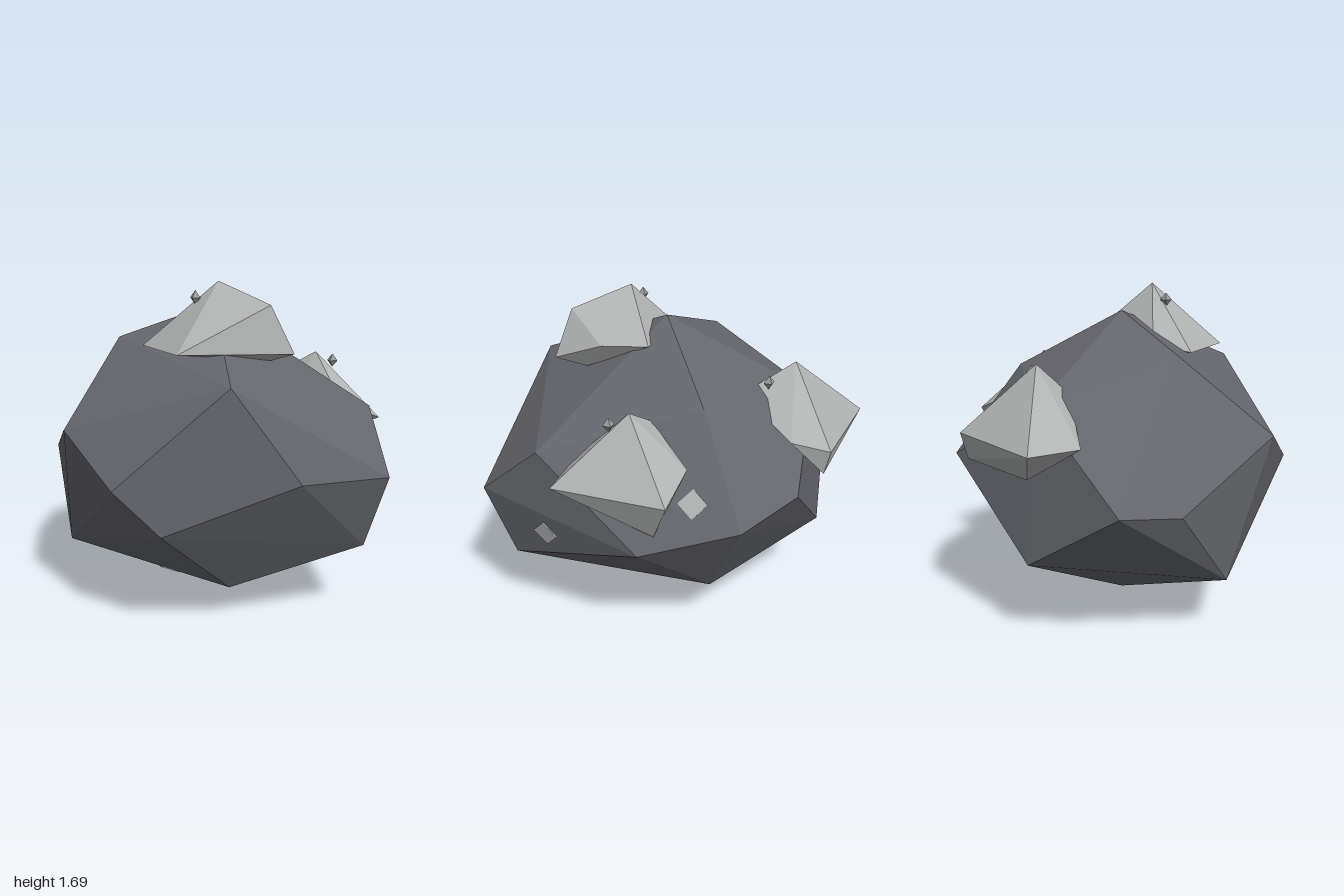
import * as THREE from 'three';
import { ConvexGeometry } from 'three/addons/geometries/ConvexGeometry.js';

const toVectors = (points) => points.map((p) => new THREE.Vector3(...p));

export function createModel() {
  const darkStone = new THREE.MeshStandardMaterial({ color: 0x65666c, flatShading: true });
  darkStone.name = 'dark stone';
  const paleStone = new THREE.MeshStandardMaterial({ color: 0xb0b2b1, flatShading: true });
  paleStone.name = 'pale stone';
  const crystalGrey = new THREE.MeshStandardMaterial({ color: 0x98999a, flatShading: true });
  crystalGrey.name = 'crystal grey';

  const model = new THREE.Group();
  model.name = 'boulder';
  const add = (name, geometry, material, position = [0, 0, 0]) => {
    const mesh = new THREE.Mesh(geometry, material);
    mesh.name = name;
    mesh.position.set(...position);
    model.add(mesh);
    return mesh;
  };

  // Faceted boulder: the six axis tips, then the corners between them
  add('boulderBody', new ConvexGeometry(toVectors([
    [1, 0.78, 0], [-1, 0.78, 0], [0, 0.78, 0.88], [0, 0.78, -0.88], [0, 0, 0], [0, 1.56, 0],
    [0.74, 0.81, 0.42], [0.87, 0.39, -0.04], [0.46, 1.26, 0.59], [0.21, 0.57, 0.79],
    [0.32, 0.18, 0.36], [-0.58, 0.31, 0.52], [-0.39, 0.99, 0.75], [-0.87, 0.74, 0.28],
    [-0.41, 1.39, 0.27], [0.78, 1.06, -0.26], [0.445, 0.66, -0.7], [-0.01, 0.27, -0.55],
    [-0.32, 0.88, -0.83], [0.04, 1.27, -0.54], [-0.71, 0.44, -0.435], [-0.64, 1.19, -0.38],
  ])), darkStone);

  // Pale rock outcrops, partly sunk into the boulder
  const outcrops = {
    topOutcrop: [
      [0.13, 1.69, 0.16], [0.44, 1.59, 0.19], [0.55, 1.36, 0.15], [0.13, 1.37, 0.53],
      [-0.2, 1.37, 0.35], [-0.16, 1.41, 0.16], [0.13, 1.31, 0.16], [0.4, 1.31, 0.1],
      [0.15, 1.45, -0.12], [0.36, 1.45, -0.02],
    ],
    leftOutcrop: [
      [0.77, 0.96, -0.44], [0.35, 0.96, -0.82], [0.36, 0.75, -0.7], [0.6, 0.88, -0.44],
      [0.38, 1.28, -0.46], [0.45, 1.17, -0.41], [0.6, 1.04, -0.33], [0.33, 1.14, -0.37],
      [0.26, 1.21, -0.44], [0.18, 1.05, -0.67], [0.4, 0.85, -0.42],
    ],
    rightOutcrop: [
      [-0.53, 1.37, -0.39], [-0.95, 1.04, -0.39], [-0.53, 1.04, -0.76], [-0.25, 1.23, -0.36],
      [-0.36, 1.08, -0.67], [-0.82, 1.04, -0.17], [-0.53, 1.23, -0.24], [-0.52, 0.91, -0.73],
      [-0.76, 0.88, -0.42], [-0.5, 0.95, -0.4],
    ],
  };
  for (const [name, points] of Object.entries(outcrops)) {
    add(name, new ConvexGeometry(toVectors(points)), paleStone);
  }

  // Tiny crystals resting on the outcrops
  const crystal = new THREE.OctahedronGeometry(0.03).scale(1, 1.2, 1);
  [[0.04, 1.61, 0.23], [0.48, 1.24, -0.46], [-0.36, 1.3, -0.43]].forEach((p, i) => {
    add(`crystal${i + 1}`, crystal, crystalGrey, p);
  });

  // Small pale chips lying flat on three facets, each facet given by its corners
  const chips = [
    { at: [-0.09, 0.165, 0.3], facet: [[0, 0, 0], [0.32, 0.18, 0.36], [-0.58, 0.31, 0.52]] },
    { at: [0.75, 0.61, -0.25], facet: [[1, 0.78, 0], [0.87, 0.39, -0.04], [0.445, 0.66, -0.7]] },
    { at: [0.18, 0.9, -0.73], facet: [[0, 0.78, -0.88], [0.04, 1.27, -0.54], [0.445, 0.66, -0.7]] },
  ];
  const centre = new THREE.Vector3(0, 0.78, 0);
  chips.forEach(({ at, facet }, i) => {
    const plane = new THREE.Plane().setFromCoplanarPoints(...toVectors(facet));
    if (plane.distanceToPoint(centre) > 0) plane.negate();
    const spot = plane.projectPoint(new THREE.Vector3(...at), new THREE.Vector3());
    const chip = add(`chip${i + 1}`, new THREE.BoxGeometry(0.1, 0.1, 0.009).rotateZ(Math.PI / 4), paleStone);
    chip.position.copy(spot).addScaledVector(plane.normal, 0.003);
    chip.lookAt(chip.position.clone().add(plane.normal));
  });

  return model;
}
